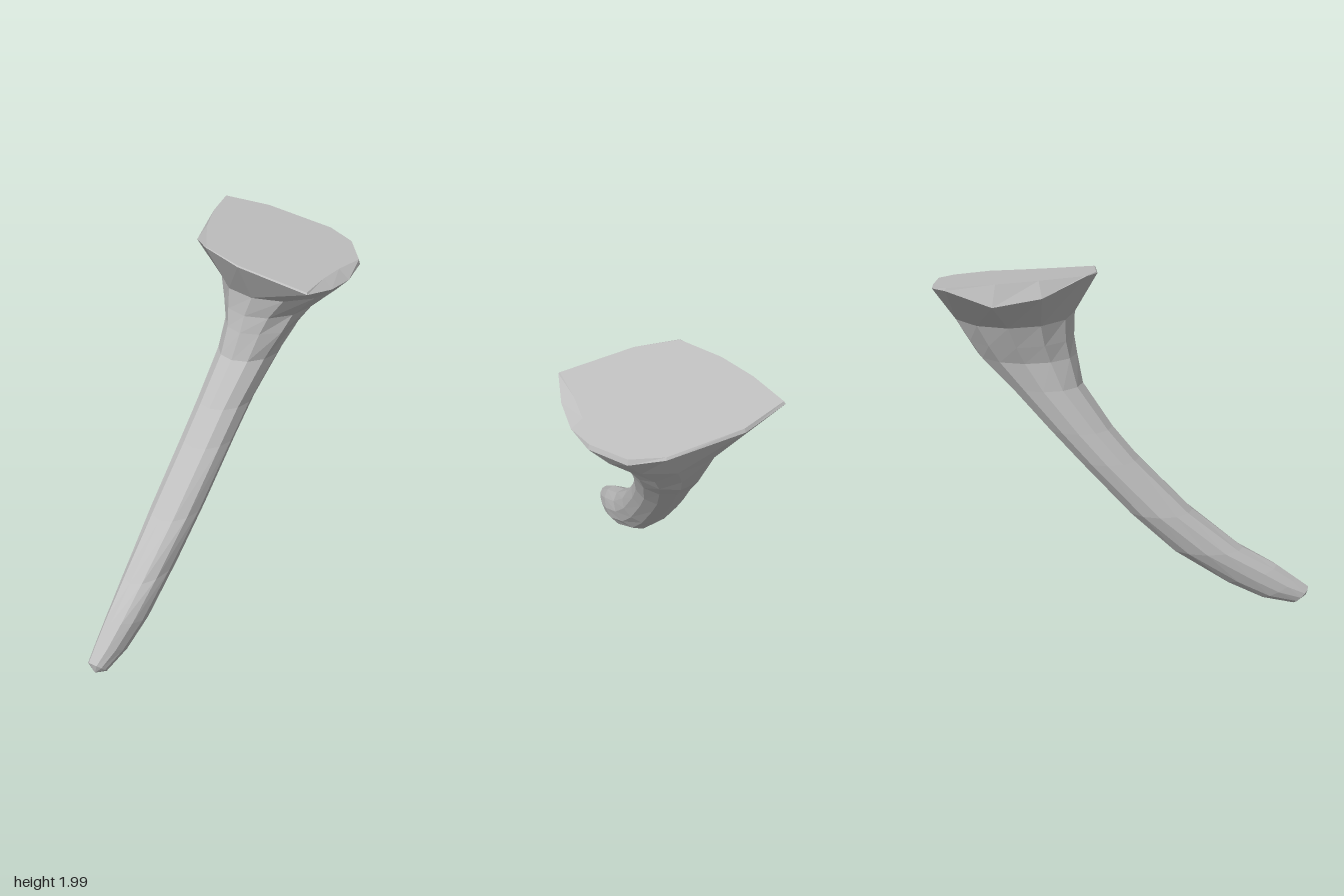
import * as THREE from 'three';

const SIDES = 12;
// horizontal axes of each cross-section: along the sweep and across it
const D = new THREE.Vector3(0.75, 0, -0.66);
const N = new THREE.Vector3(0.66, 0, 0.75);

// cross-sections from tip to flare: x, y, z, half length, half width, tilt
const SECTIONS = [
  [-0.86, 0.055, 0.76, 0.045, 0.05, 0.05],
  [-0.76, 0.105, 0.67, 0.1, 0.075, 0.06],
  [-0.64, 0.2, 0.56, 0.15, 0.095, 0.05],
  [-0.455, 0.37, 0.375, 0.21, 0.115, 0],
  [-0.25, 0.61, 0.195, 0.187, 0.135, 0],
  [-0.015, 0.92, 0.015, 0.176, 0.142, 0],
  [0.115, 1.1, -0.075, 0.183, 0.147, 0],
  [0.285, 1.34, -0.17, 0.209, 0.17, 0],
  [0.38, 1.5, -0.21, 0.275, 0.2, 0],
  [0.422, 1.6, -0.225, 0.3, 0.25, 0],
  [0.48, 1.72, -0.215, 0.34, 0.335, 0],
];

// uneven outer rim of the flare
const RIM = [
  [0.85, 1.87, -0.43], [0.91, 1.83, -0.26], [0.86, 1.82, -0.03], [0.73, 1.81, 0.13],
  [0.58, 1.83, 0.26], [0.4, 1.87, 0.37], [0.12, 1.94, 0.08], [0.01, 1.98, -0.13],
  [0.05, 1.91, -0.42], [0.17, 1.89, -0.66], [0.34, 1.98, -0.82], [0.57, 1.93, -0.71],
].map((p) => new THREE.Vector3(...p));

function sectionRing([x, y, z, a, b, tilt], ridge) {
  return Array.from({ length: SIDES }, (_, k) => {
    const t = (k / SIDES) * Math.PI * 2;
    const s = ridge && k === 4 ? 1.1 : 1;
    return new THREE.Vector3(x, y - tilt * Math.cos(t), z)
      .addScaledVector(D, a * s * Math.cos(t))
      .addScaledVector(N, b * s * Math.sin(t));
  });
}

function flatGeometry(points) {
  const geometry = new THREE.BufferGeometry().setFromPoints(points);
  geometry.computeVertexNormals();
  return geometry;
}

// skin between successive rings
function loft(rings) {
  const out = [];
  for (let i = 0; i < rings.length - 1; i++) {
    for (let k = 0; k < SIDES; k++) {
      const n = (k + 1) % SIDES;
      const [a, b, c, d] = [rings[i][k], rings[i][n], rings[i + 1][k], rings[i + 1][n]];
      out.push(a, c, b, b, c, d);
    }
  }
  return flatGeometry(out);
}

// fan closing a ring
function fan(ring, centre, up) {
  const out = [];
  ring.forEach((p, k) => {
    const q = ring[(k + 1) % SIDES];
    out.push(centre, up ? q : p, up ? p : q);
  });
  return flatGeometry(out);
}

export function createModel() {
  const group = new THREE.Group();
  group.name = 'curvedHorn';
  const grey = new THREE.MeshStandardMaterial({ color: 0xc0c0c0, flatShading: true });
  grey.name = 'grey';
  const add = (name, geometry) => {
    const mesh = new THREE.Mesh(geometry, grey);
    mesh.name = name;
    group.add(mesh);
  };

  const rings = SECTIONS.map((s) => sectionRing(s, s[1] === 1.5));

  // flat slanted cap, set in where the rim has a bevel
  const planeY = (x, z) => 1.972 - 0.15 * x - 0.09 * z;
  const cx = 0.42, cz = -0.22;
  const cap = RIM.map((p, k) => {
    const s = [3, 4, 8, 9].includes(k) ? 0.87 : 0.985;
    const x = cx + (p.x - cx) * s, z = cz + (p.z - cz) * s;
    return new THREE.Vector3(x, planeY(x, z), z);
  });

  add('shaft', loft(rings.slice(0, 9)));
  add('flare', loft([...rings.slice(8), RIM]));
  add('rimBevel', loft([RIM, cap]));
  add('cap', fan(cap, new THREE.Vector3(cx, planeY(cx, cz), cz), true));
  add('tip', fan(rings[0], new THREE.Vector3(-0.88, 0.045, 0.79), false));
  return group;
}
